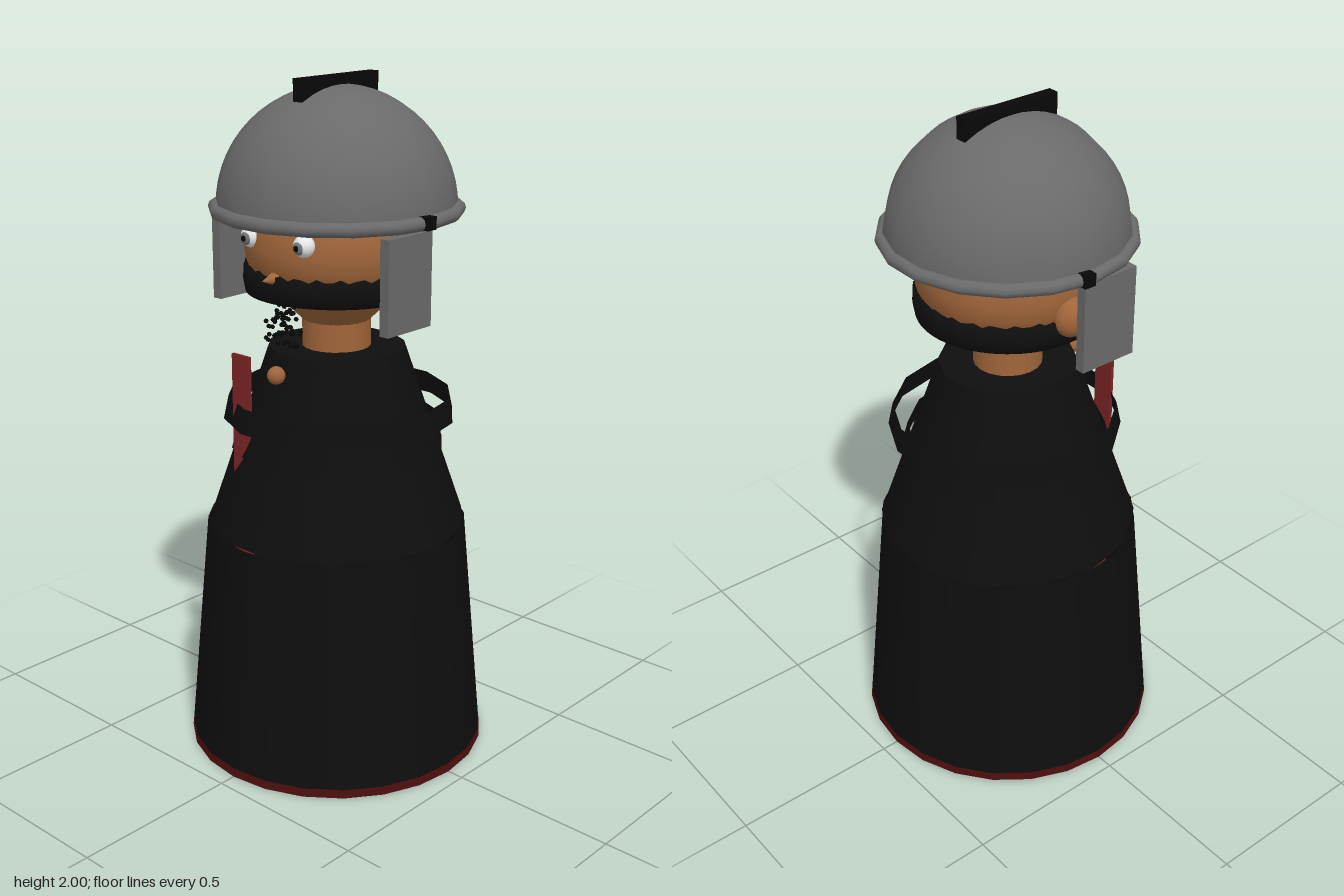
import * as THREE from 'three';

const mat = (name, hex, double) => {
  const m = new THREE.MeshStandardMaterial({ color: hex });
  m.name = name;
  if (double) m.side = THREE.DoubleSide;
  return m;
};

export function createModel() {
  const root = new THREE.Group();
  root.name = 'helmetedFigure';
  const black = mat('black cloth', 0x0e0e0e, true);
  const skin = mat('skin', 0xa0653a);
  const grey = mat('helmet grey', 0x6a6a6a, true);
  const red = mat('red sash', 0x7a2424);
  const hemRed = mat('dark red hem', 0x4c0e0e, true);
  const white = mat('eye white', 0xe8e8e8);
  const iris = mat('iris grey', 0x70757a);
  const ink = mat('black hair', 0x080808);

  const add = (name, geo, m, x = 0, y = 0, z = 0) => {
    const mesh = new THREE.Mesh(geo, m);
    mesh.name = name;
    mesh.position.set(x, y, z);
    root.add(mesh);
    return mesh;
  };
  // tapered tube between two heights
  const tube = (name, rTop, rBot, y0, y1, sides, m, open = true, z = 0) =>
    add(name, new THREE.CylinderGeometry(rTop, rBot, y1 - y0, sides, 1, open, Math.PI / 2),
      m, 0, (y0 + y1) / 2, z);
  const lathe = (pts, n) => new THREE.LatheGeometry(pts.map(p => new THREE.Vector2(...p)), n);

  // robe
  tube('skirt', 0.385, 0.447, 0.025, 0.7, 24, black);
  tube('hem', 0.447, 0.45, 0, 0.025, 24, hemRed);
  tube('upperRobe', 0.2, 0.385, 0.7, 1.235, 14, black);
  const collar = add('collarTop', new THREE.CircleGeometry(0.2, 14), black, 0, 1.234, 0);
  collar.rotation.x = -Math.PI / 2;
  tube('belt', 0.29, 0.315, 0.93, 1.02, 14, black, true, -0.006);
  tube('shoulderRing', 0.326, 0.341, 1.02, 1.09, 14, black, true, -0.012);
  add('sash', new THREE.BoxGeometry(0.068, 1.225, 0.01), red, -0.113, 0.6225, 0.275);
  add('button', new THREE.SphereGeometry(0.026, 16, 12), skin, 0, 1.193, 0.25);

  // neck and head
  tube('neck', 0.1, 0.1, 1.2, 1.34, 20, skin);
  add('head', lathe([[0, 1.3], [0.09, 1.305], [0.185, 1.4], [0.235, 1.44], [0.258, 1.49],
    [0.264, 1.54], [0.257, 1.59], [0.24, 1.64], [0.19, 1.7], [0.11, 1.745], [0, 1.76]], 32), skin);

  // beard band with a ragged top edge
  const band = lathe([[0.18, 1.4], [0.261, 1.4], [0.267, 1.435], [0.264, 1.48], [0.24, 1.48]], 72);
  const p = band.attributes.position;
  for (let i = 0; i < p.count; i++) {
    const s = Math.floor(i / 5) % 72;
    if (p.getY(i) > 1.47) p.setY(i, 1.474 + 0.007 * Math.sin(s * 2.3));
  }
  band.computeVertexNormals();
  add('beardBand', band, black);

  // loose chin hairs, fanning out downwards
  let seed = 7;
  const rand = () => (seed = (seed * 16807) % 2147483647) / 2147483647;
  const hair = new THREE.IcosahedronGeometry(0.0075, 0);
  for (let i = 0; i < 65; i++) {
    const t = Math.pow(rand(), 1.1);
    add('chinHair', hair, ink, (rand() * 2 - 1) * (0.025 + 0.06 * t),
      1.395 - 0.125 * t, 0.22 + (rand() - 0.5) * 0.05 * (1 - 0.6 * t));
  }

  // nose
  const nose = add('nose', new THREE.ConeGeometry(0.02, 0.05, 16), skin, 0, 1.47, 0.275);
  nose.rotation.x = Math.PI / 2;

  // helmet
  add('helmetDome', new THREE.SphereGeometry(0.342, 18, 14, 0, Math.PI * 2, 0, Math.PI / 2),
    grey, 0, 1.633, 0);
  const rim = add('helmetRim', new THREE.TorusGeometry(0.344, 0.02, 10, 18), grey, 0, 1.635, 0);
  rim.rotation.x = Math.PI / 2;
  add('crest', new THREE.BoxGeometry(0.033, 0.062, 0.312), ink, 0, 1.969, 0);

  // mirrored parts
  for (const s of [-1, 1]) {
    const ear = add('ear', new THREE.SphereGeometry(0.058, 20, 14), skin, s * 0.262, 1.48, 0.01);
    ear.scale.x = 0.75;
    add('eye', new THREE.SphereGeometry(0.031, 20, 14), white, s * 0.1, 1.572, 0.238);
    const ir = add('iris', new THREE.SphereGeometry(0.019, 16, 12), iris, s * 0.1, 1.57, 0.26);
    ir.scale.z = 0.6;
    const pupil = add('pupil', new THREE.SphereGeometry(0.009, 12, 8), ink, s * 0.1, 1.57, 0.269);
    pupil.scale.z = 0.6;
    const brow = add('eyebrow', new THREE.BoxGeometry(0.05, 0.012, 0.02), ink, s * 0.088, 1.607, 0.243);
    brow.rotation.z = s * 0.2;
    add('cheekGuard', new THREE.BoxGeometry(0.03, 0.265, 0.18), grey, s * 0.322, 1.4775, 0.076);
    add('hinge', new THREE.BoxGeometry(0.032, 0.036, 0.036), ink, s * 0.349, 1.637, s * 0.022);
  }
  return root;
}
